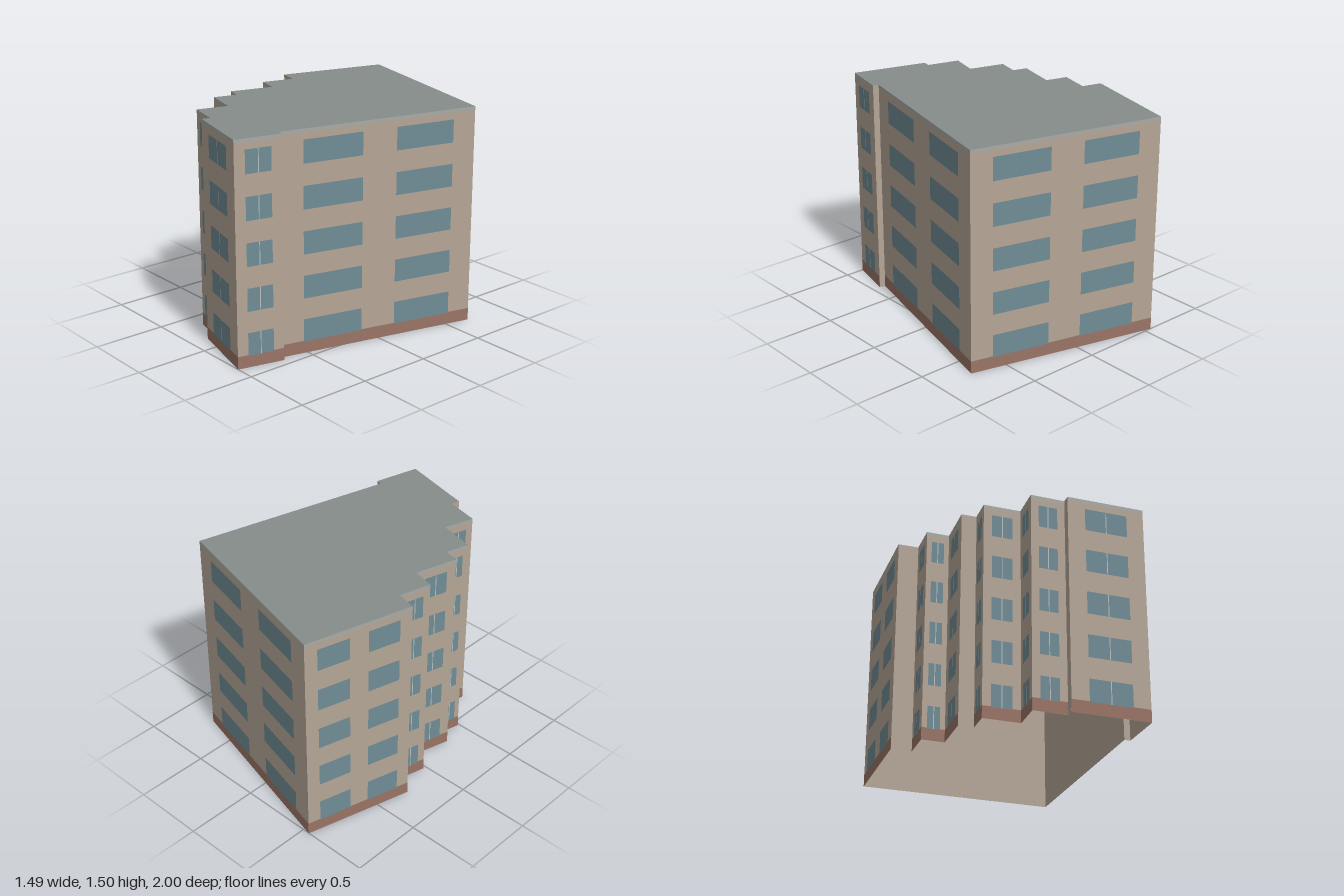
import * as THREE from 'three';

const HEIGHT = 1.5, FLOORS = 5, FLOOR_STEP = 0.299;
const BASE_H = 0.085, TRIM_H = 0.024;
const SILL = 0.08, WINDOW_H = 0.155;
const PLAIN_LIMIT = 0.15; // shorter return walls stay blank

// Footprint corners (x, z), starting at the back left of the plan
const FOOTPRINT = [
  [-0.55, -1.0], [0.74, -0.67], [0.40, 0.68], [0.44, 0.69],
  [0.365, 1.0], [-0.145, 0.868], [-0.13, 0.812], [-0.355, 0.757],
  [-0.295, 0.55], [-0.54, 0.487], [-0.497, 0.33], [-0.597, 0.305],
  [-0.517, 0.015], [-0.667, -0.023], [-0.61, -0.238], [-0.745, -0.273],
];

const paint = (color, side = THREE.FrontSide) =>
  new THREE.MeshStandardMaterial({ color, side });

export function createModel() {
  const building = new THREE.Group();
  building.name = 'apartmentBuilding';

  const wallMat = paint(0xb5a697, THREE.DoubleSide);
  const roofMat = paint(0x858d8a, THREE.DoubleSide);
  const baseMat = paint(0x9a7466);
  const trimMat = paint(0xaaaaa6);
  const glassMat = paint(0x708c95);
  const mullionMat = paint(0xb9c0bd);

  // Upright rectangle on a facade, centred at x, standing on y
  function panel(parent, name, mat, x, y, w, h, offset) {
    const mesh = new THREE.Mesh(new THREE.PlaneGeometry(w, h), mat);
    mesh.name = name;
    mesh.position.set(x, y + h / 2, offset);
    parent.add(mesh);
  }

  FOOTPRINT.forEach(([x0, z0], i) => {
    const [x1, z1] = FOOTPRINT[(i + 1) % FOOTPRINT.length];
    const dx = x1 - x0, dz = z1 - z0, length = Math.hypot(dx, dz);

    // Each facade is built facing +z, then turned outward
    const facade = new THREE.Group();
    facade.name = 'facade';
    facade.position.set((x0 + x1) / 2, 0, (z0 + z1) / 2);
    facade.rotation.y = Math.atan2(dz, -dx);
    building.add(facade);

    panel(facade, 'wall', wallMat, 0, 0, length, HEIGHT, 0);
    if (length < PLAIN_LIMIT) return;

    panel(facade, 'basePlinth', baseMat, 0, 0, length, BASE_H, 0.001);
    panel(facade, 'roofTrim', trimMat, 0, HEIGHT - TRIM_H, length, TRIM_H, 0.001);

    // Long walls carry two plain windows, the others one divided window
    const isLong = length > 0.6;
    const centres = isLong ? [-0.236, 0.236] : [0];
    const width = length * (isLong ? 0.298 : 0.55);
    for (let floor = 0; floor < FLOORS; floor++) {
      const y = SILL + floor * FLOOR_STEP;
      for (const c of centres) {
        panel(facade, 'window', glassMat, c * length, y, width, WINDOW_H, 0.002);
        if (!isLong) panel(facade, 'mullion', mullionMat, 0, y, 0.006, WINDOW_H, 0.003);
      }
    }
  });

  // Flat roof over the stepped plan
  const plan = new THREE.Shape(FOOTPRINT.map(([x, z]) => new THREE.Vector2(x, -z)));
  const roof = new THREE.Mesh(new THREE.ShapeGeometry(plan).rotateX(-Math.PI / 2), roofMat);
  roof.name = 'roof';
  roof.position.y = HEIGHT;
  building.add(roof);

  return building;
}
